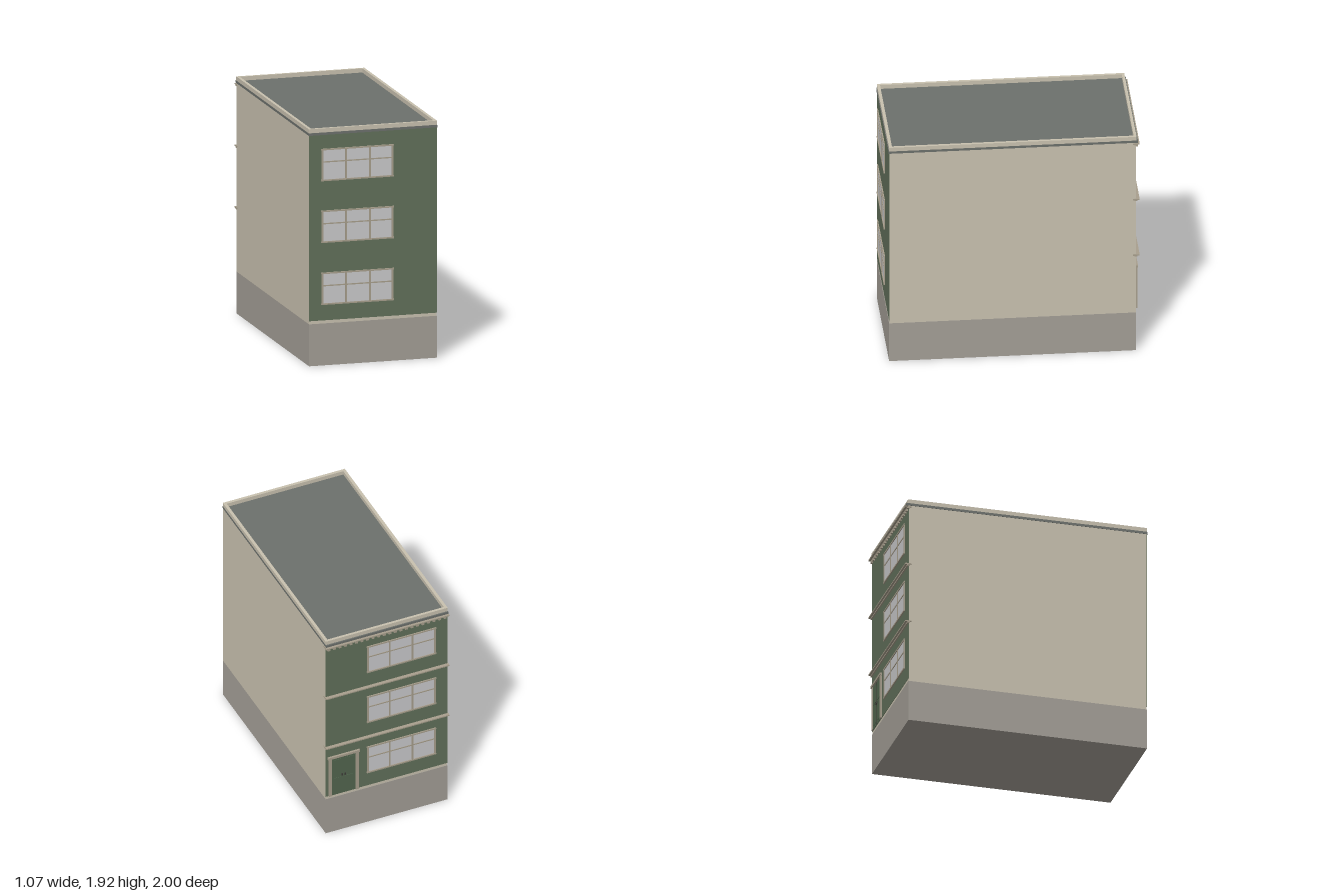
import * as THREE from 'three';

const mat = (name, color) => new THREE.MeshStandardMaterial({ name, color });

export function createModel() {
  const M = {
    stone: mat('foundation stone', 0xa39e96),
    cream: mat('cream plaster', 0xc8c1af),
    green: mat('green brick', 0x61705a),
    roof: mat('roof grey', 0x6c706c),
    glass: mat('window glass', 0xc9c9cb),
    trim: mat('taupe trim', 0xa89f8d),
    door: mat('door green', 0x52664f),
    metal: mat('dark metal', 0x3c3a36),
  };
  const model = new THREE.Group();
  model.name = 'townhouse';

  // Box given by its minimum and maximum on each axis
  const box = (parent, name, m, x0, x1, y0, y1, z0, z1) => {
    const mesh = new THREE.Mesh(new THREE.BoxGeometry(x1 - x0, y1 - y0, z1 - z0), m);
    mesh.position.set((x0 + x1) / 2, (y0 + y1) / 2, (z0 + z1) / 2);
    mesh.name = name;
    parent.add(mesh);
    return mesh;
  };

  const W = 0.528, FRONT = 0.99, BACK = -0.972;

  // Main masses
  box(model, 'foundation', M.stone, -W, W, 0, 0.34, BACK, FRONT);
  box(model, 'body', M.cream, -W, W, 0.34, 1.87, BACK + 0.003, FRONT - 0.003);
  box(model, 'frontBrick', M.green, -W, W, 0.365, 1.87, FRONT - 0.003, FRONT);
  box(model, 'backBrick', M.green, -W, W, 0.365, 1.87, BACK, BACK + 0.003);
  box(model, 'roofSlab', M.roof, -W - 0.003, W + 0.003, 1.87, 1.89, -0.987, 0.994);

  // Parapet ring around the roof
  const rect = (S, x, z0, z1) => {
    const s = new S();
    s.moveTo(-x, -z0); s.lineTo(-x, -z1); s.lineTo(x, -z1); s.lineTo(x, -z0); s.closePath();
    return s;
  };
  const ring = rect(THREE.Shape, 0.53, -0.976, 0.99);
  ring.holes.push(rect(THREE.Path, 0.506, -0.954, 0.966));
  const parapet = new THREE.Mesh(new THREE.ExtrudeGeometry(ring, { depth: 0.033, bevelEnabled: false }), M.cream);
  parapet.rotation.x = -Math.PI / 2;
  parapet.position.y = 1.89;
  parapet.name = 'parapet';
  model.add(parapet);

  // Triple sash window; local z = 0 is the wall face, +z points outwards
  const makeWindow = (name) => {
    const g = new THREE.Group();
    g.name = name;
    const x0 = -0.425, x1 = 0.168, h = 0.262, t = 0.012;
    box(g, 'glass', M.glass, x0 + t, x1 - t, t, h - t, 0, 0.002);
    box(g, 'sill', M.trim, x0 - 0.004, x1 + 0.004, 0, t, 0, 0.01);
    box(g, 'head', M.trim, x0 - 0.004, x1 + 0.004, h - t, h, 0, 0.009);
    for (const x of [x0 + 0.006, -0.223, -0.026, x1 - 0.006])
      box(g, 'mullion', M.trim, x - 0.007, x + 0.007, t, h - t, 0, 0.008);
    box(g, 'meetingRail', M.trim, x0 + t, x1 - t, 0.15, 0.16, 0, 0.006);
    return g;
  };

  for (const y of [0.492, 0.995, 1.496]) {
    const front = makeWindow('frontWindow');
    front.position.set(0, y, FRONT);
    model.add(front);
    const back = makeWindow('backWindow');
    back.position.set(0, y, BACK);
    back.scale.z = -1;
    model.add(back);
  }

  // String courses on the street side, wrapping slightly round the corners
  for (const y of [0.86, 1.36, 1.86]) {
    box(model, 'ledge', M.trim, -0.535, 0.535, y - 0.005, y + 0.005, -1, -0.948);
    box(model, 'ledgeMoulding', M.trim, -0.532, 0.532, y - 0.015, y - 0.005, -0.984, -0.96);
  }
  // Small blocks under the top cornice
  for (let i = 0; i < 22; i++) {
    const x = -0.505 + i * 1.01 / 21;
    box(model, 'dentil', M.trim, x - 0.011, x + 0.011, 1.828, 1.845, -0.987, BACK);
  }

  // Panelled double door with frame
  const door = new THREE.Group();
  door.name = 'door';
  door.position.z = BACK;
  door.scale.z = -1;
  model.add(door);
  const dx0 = 0.245, dx1 = 0.505, dy = 0.365, top = 0.755;
  box(door, 'leftJamb', M.trim, dx1 - 0.024, dx1, dy, top - 0.02, 0, 0.012);
  box(door, 'rightJamb', M.trim, dx0, dx0 + 0.024, dy, top - 0.02, 0, 0.012);
  box(door, 'lintel', M.trim, dx0 - 0.008, dx1 + 0.008, top - 0.02, top, 0, 0.017);
  box(door, 'leaf', M.door, dx0 + 0.024, dx1 - 0.024, dy, top - 0.02, 0, 0.003);
  box(door, 'centreSeam', M.metal, 0.3735, 0.3765, dy, top - 0.02, 0.003, 0.004);
  for (const x of [0.322, 0.428])
    for (const [y0, y1] of [[0.39, 0.53], [0.57, 0.71]])
      box(door, 'panel', M.door, x - 0.035, x + 0.035, y0, y1, 0.003, 0.006);
  for (const x of [0.362, 0.388])
    box(door, 'handle', M.metal, x - 0.005, x + 0.005, 0.54, 0.56, 0.003, 0.01);

  return model;
}
